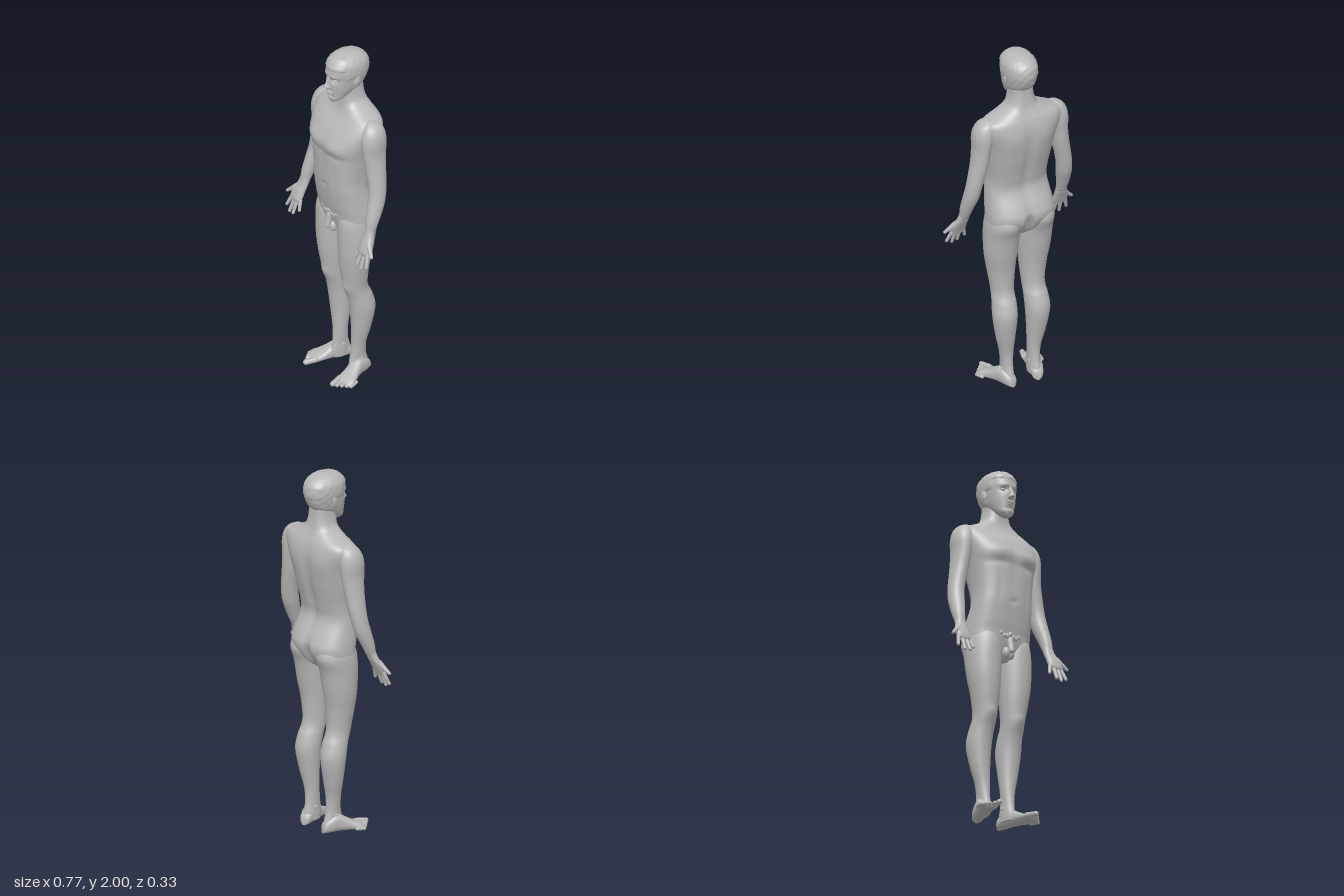
import * as THREE from 'three';

// Bell-shaped falloff used for soft muscle and face modelling
const bell = (d, w) => Math.exp(-(d * d) / (w * w));

// Smooth skin through cross-sections [y, centreX, halfWidth, zFront, zBack], lowest first
function loft(rows, { power = 2, seg = 40, steps = 6, deform } = {}) {
  const rings = [];
  for (let i = 0; i < rows.length - 1; i++) {
    const a = rows[Math.max(i - 1, 0)], b = rows[i], c = rows[i + 1], d = rows[Math.min(i + 2, rows.length - 1)];
    for (let k = 0; k < steps; k++) {
      const t = k / steps;
      rings.push(b.map((v, j) => v + 0.5 * t * (c[j] - a[j] + t * (2 * a[j] - 5 * v + 4 * c[j] - d[j] + t * (3 * (v - c[j]) + d[j] - a[j])))));
    }
  }
  rings.push(rows[rows.length - 1]);
  const pos = [], idx = [], p = new THREE.Vector3();
  const put = (x, y, z) => {
    p.set(x, y, z);
    if (deform) deform(p);
    pos.push(p.x, p.y, p.z);
  };
  const round = (v) => Math.sign(v) * Math.abs(v) ** (2 / power);
  for (const [y, cx, rx, zf, zb] of rings)
    for (let s = 0; s < seg; s++) {
      const a = (s / seg) * Math.PI * 2;
      put(cx + rx * round(Math.cos(a)), y, (zf + zb) / 2 + ((zf - zb) / 2) * round(Math.sin(a)));
    }
  for (let r = 0; r < rings.length - 1; r++)
    for (let s = 0; s < seg; s++) {
      const a = r * seg + s, b = r * seg + ((s + 1) % seg);
      idx.push(a, a + seg, b, b, a + seg, b + seg);
    }
  const n = rings.length * seg, top = n - seg;
  for (const [y, cx, , zf, zb] of [rows[0], rows[rows.length - 1]]) put(cx, y, (zf + zb) / 2);
  for (let s = 0; s < seg; s++) {
    const t = (s + 1) % seg;
    idx.push(n, s, t, n + 1, top + t, top + s);
  }
  const g = new THREE.BufferGeometry();
  g.setAttribute('position', new THREE.Float32BufferAttribute(pos, 3));
  g.setIndex(idx);
  g.computeVertexNormals();
  return g;
}

// Tapered round-ended finger or toe from point a to point b
function digit(a, b, r0, r1) {
  const from = new THREE.Vector3(...a), dir = new THREE.Vector3(...b).sub(from), L = dir.length();
  const row = (y, r) => [y, 0, r, r, -r];
  const g = loft([row(0, r0 * 0.5), row(L * 0.1, r0), row(L * 0.5, (r0 + r1) / 2), row(L - r1, r1), row(L - r1 * 0.3, r1 * 0.75), row(L, r1 * 0.1)], { seg: 14, steps: 3 });
  g.applyQuaternion(new THREE.Quaternion().setFromUnitVectors(new THREE.Vector3(0, 1, 0), dir.normalize()));
  return g.translate(...a);
}

const ball = (x, y, z, rx, ry, rz) => new THREE.SphereGeometry(1, 24, 16).scale(rx, ry, rz).translate(x, y, z);

function mirrored(g) {
  const m = g.clone(), ix = m.index.array;
  m.scale(-1, 1, 1);
  for (let i = 0; i < ix.length; i += 3) [ix[i], ix[i + 1]] = [ix[i + 1], ix[i]];
  m.computeVertexNormals();
  return m;
}

export function createModel() {
  const model = new THREE.Group();
  const skin = new THREE.MeshStandardMaterial({ color: 0xb8b8b8 });
  skin.name = 'plain grey';
  const add = (name, g) => {
    const m = new THREE.Mesh(g, skin);
    m.name = name;
    model.add(m);
  };
  const pair = (name, g) => {
    add('left' + name, g);
    add('right' + name, mirrored(g));
  };

  // Torso and neck, with spine, cleft, chest and belly modelling
  add('torso', loft([
    [0.9, 0, 0.08, 0.04, -0.06], [0.94, 0, 0.155, 0.065, -0.11], [1.0, 0, 0.184, 0.085, -0.152],
    [1.05, 0, 0.186, 0.094, -0.165], [1.1, 0, 0.181, 0.105, -0.15], [1.2, 0, 0.17, 0.12, -0.106],
    [1.28, 0, 0.169, 0.126, -0.115], [1.4, 0, 0.185, 0.13, -0.145], [1.48, 0, 0.2, 0.138, -0.16],
    [1.55, 0, 0.218, 0.11, -0.166], [1.6, 0, 0.228, 0.075, -0.162], [1.64, 0, 0.212, 0.045, -0.152],
    [1.675, 0, 0.142, 0.03, -0.137], [1.71, 0, 0.085, 0.024, -0.124], [1.76, 0, 0.066, 0.024, -0.115],
    [1.83, 0, 0.06, 0.02, -0.11],
  ], {
    power: 2.5, seg: 72, steps: 8,
    deform: (p) => {
      const { x, y } = p, ax = Math.abs(x);
      if (p.z < -0.06) {
        p.z += 0.016 * bell(x, 0.022) * bell(y - 1.38, 0.25);
        p.z += 0.04 * bell(x, 0.018) * bell(y - 1.0, 0.07);
        p.z -= 0.006 * bell(ax - 0.1, 0.04) * bell(y - 1.53, 0.06);
      } else if (p.z > 0.03) {
        p.z += 0.008 * bell(ax - 0.085, 0.06) * bell(y - 1.485, 0.035);
        p.z -= 0.007 * bell(ax - 0.09, 0.07) * bell(y - 1.425, 0.018);
        p.z -= 0.007 * bell(x, 0.014) * bell(y - 1.45, 0.12);
        p.z -= 0.009 * bell(x, 0.01) * bell(y - 1.215, 0.012);
        p.z -= 0.004 * bell(ax - 0.085, 0.015) * bell(y - 1.27, 0.1);
      }
    },
  }));
  pair('Collarbone', digit([0.018, 1.635, 0.04], [0.17, 1.65, -0.012], 0.01, 0.008));

  // Head with eye sockets, brow and a raised rippled hair area
  add('head', loft([
    [1.725, 0, 0.018, 0.077, 0.035], [1.745, 0, 0.042, 0.085, 0.0], [1.78, 0, 0.06, 0.087, -0.065],
    [1.82, 0, 0.074, 0.09, -0.115], [1.87, 0, 0.083, 0.09, -0.14], [1.91, 0, 0.087, 0.092, -0.147],
    [1.95, 0, 0.082, 0.082, -0.138], [1.98, 0, 0.061, 0.055, -0.108], [1.993, 0, 0.037, 0.022, -0.075],
    [1.998, 0, 0.008, -0.015, -0.04],
  ], {
    power: 2.2, seg: 64, steps: 8,
    deform: (p) => {
      const { x, y, z } = p, ax = Math.abs(x);
      if (z > 0.03) {
        p.z -= 0.014 * bell(ax - 0.033, 0.017) * bell(y - 1.868, 0.013);
        p.z += 0.005 * bell(ax - 0.03, 0.03) * bell(y - 1.892, 0.01);
        p.z -= 0.006 * bell(x, 0.03) * bell(y - 1.765, 0.008);
      }
      const hairline = z > 0.03 ? 1.935 : z > -0.02 ? 1.88 : 1.8;
      if (y > hairline && y < 1.99) {
        const lift = 0.004 + 0.0015 * Math.sin(z * 160 + x * 90) * Math.sin(y * 140);
        const n = Math.hypot(x, z + 0.03) || 1;
        p.x += (x / n) * lift;
        p.z += ((z + 0.03) / n) * lift;
      }
    },
  }));
  add('nose', loft([
    [1.812, 0, 0.008, 0.1, 0.07], [1.82, 0, 0.017, 0.115, 0.07], [1.829, 0, 0.016, 0.121, 0.07],
    [1.85, 0, 0.01, 0.11, 0.07], [1.888, 0, 0.009, 0.094, 0.07],
  ], { seg: 20 }));
  add('upperLip', ball(0, 1.795, 0.086, 0.024, 0.005, 0.009));
  add('lowerLip', ball(0, 1.785, 0.085, 0.02, 0.006, 0.009));
  add('chin', ball(0, 1.75, 0.072, 0.024, 0.018, 0.016));
  pair('Eye', ball(0.033, 1.868, 0.068, 0.014, 0.009, 0.011));
  pair('Ear', ball(0, 0, 0, 0.008, 0.032, 0.018).rotateX(-0.2).rotateY(-0.25).translate(0.084, 1.855, -0.03));

  // Arms
  pair('Arm', loft([
    [1.035, 0.29, 0.027, 0.06, 0.012], [1.1, 0.287, 0.034, 0.053, -0.022], [1.18, 0.277, 0.041, 0.034, -0.06],
    [1.24, 0.27, 0.042, 0.02, -0.076], [1.3, 0.26, 0.043, 0.016, -0.086], [1.4, 0.24, 0.046, 0.021, -0.098],
    [1.48, 0.23, 0.047, 0.03, -0.106], [1.55, 0.223, 0.055, 0.034, -0.112], [1.6, 0.214, 0.055, 0.024, -0.108],
    [1.635, 0.204, 0.042, 0.004, -0.094], [1.655, 0.196, 0.014, -0.025, -0.065],
  ]));

  // Hands, palms facing forward
  pair('Palm', loft([
    [0.922, 0.302, 0.03, 0.097, 0.07], [0.94, 0.303, 0.042, 0.099, 0.062], [0.98, 0.303, 0.042, 0.086, 0.042],
    [1.02, 0.294, 0.033, 0.068, 0.022], [1.06, 0.289, 0.027, 0.056, 0.008],
  ], { power: 2.4, seg: 28 }));
  const fingers = [
    ['LittleFinger', [0.27, 0.945, 0.078], [0.252, 0.88, 0.1], 0.01],
    ['RingFinger', [0.29, 0.94, 0.08], [0.287, 0.853, 0.117], 0.011],
    ['MiddleFinger', [0.313, 0.94, 0.08], [0.321, 0.848, 0.115], 0.011],
    ['IndexFinger', [0.334, 0.945, 0.077], [0.359, 0.867, 0.106], 0.011],
    ['Thumb', [0.314, 1.0, 0.06], [0.383, 0.937, 0.088], 0.016],
  ];
  for (const [name, a, b, r] of fingers) pair(name, digit(a, b, r, 0.0085));

  // Legs with kneecaps
  pair('Leg', loft([
    [0.02, 0.08, 0.03, 0.01, -0.1], [0.06, 0.08, 0.032, 0.015, -0.1], [0.12, 0.08, 0.031, 0.005, -0.086],
    [0.2, 0.083, 0.038, 0.0, -0.086], [0.3, 0.092, 0.053, 0.003, -0.106], [0.42, 0.097, 0.066, 0.014, -0.126],
    [0.5, 0.094, 0.064, 0.03, -0.11], [0.55, 0.092, 0.061, 0.048, -0.088], [0.6, 0.092, 0.064, 0.058, -0.08],
    [0.7, 0.095, 0.076, 0.075, -0.087], [0.8, 0.099, 0.088, 0.084, -0.105], [0.92, 0.098, 0.095, 0.087, -0.127],
    [1.0, 0.097, 0.093, 0.084, -0.156], [1.06, 0.095, 0.08, 0.065, -0.14],
  ], {
    deform: (p) => {
      if (p.z > 0) p.z += 0.008 * bell(p.x - 0.09, 0.03) * bell(p.y - 0.585, 0.03);
    },
  }));
  pair('Ankle', ball(0.08, 0.095, -0.043, 0.036, 0.02, 0.02));

  // Feet, splayed outward, lofted heel to toes; each row is length, centre, half width, height
  const splay = 0.3;
  const place = (g) => g.rotateY(splay).translate(0.072, 0, -0.11);
  const foot = [
    [0, 0, 0.012, 0.03], [0.012, 0, 0.028, 0.06], [0.05, 0, 0.036, 0.09], [0.09, 0, 0.036, 0.098],
    [0.13, 0.002, 0.04, 0.075], [0.17, 0.006, 0.047, 0.052], [0.2, 0.008, 0.051, 0.04], [0.228, 0.006, 0.045, 0.022],
  ];
  pair('Foot', place(loft(foot.map(([l, c, w, h]) => [l, c, w, -0.002, -h]), { power: 2.4 }).rotateX(Math.PI / 2)));
  for (let i = 0; i < 5; i++) {
    const c = -0.03 + 0.0215 * i, r = i ? 0.0115 - i * 0.0004 : 0.016;
    pair('Toe' + (i + 1), place(digit([c, r + 0.008, 0.195 - i * 0.007], [c, r, 0.278 - 0.013 * i], r, r * 0.9)));
  }

  // Plain groin anatomy
  pair('Groin', ball(0.016, 0.935, 0.07, 0.02, 0.032, 0.024));
  add('groinFront', digit([0, 1.02, 0.08], [0, 0.925, 0.102], 0.017, 0.016));
  for (let i = -3; i <= 3; i++)
    add('groinHair', ball(i * 0.019, 1.028 + 0.008 * Math.cos(i * 2), 0.088 - Math.abs(i) * 0.002, 0.014, 0.016, 0.011));

  return model;
}
